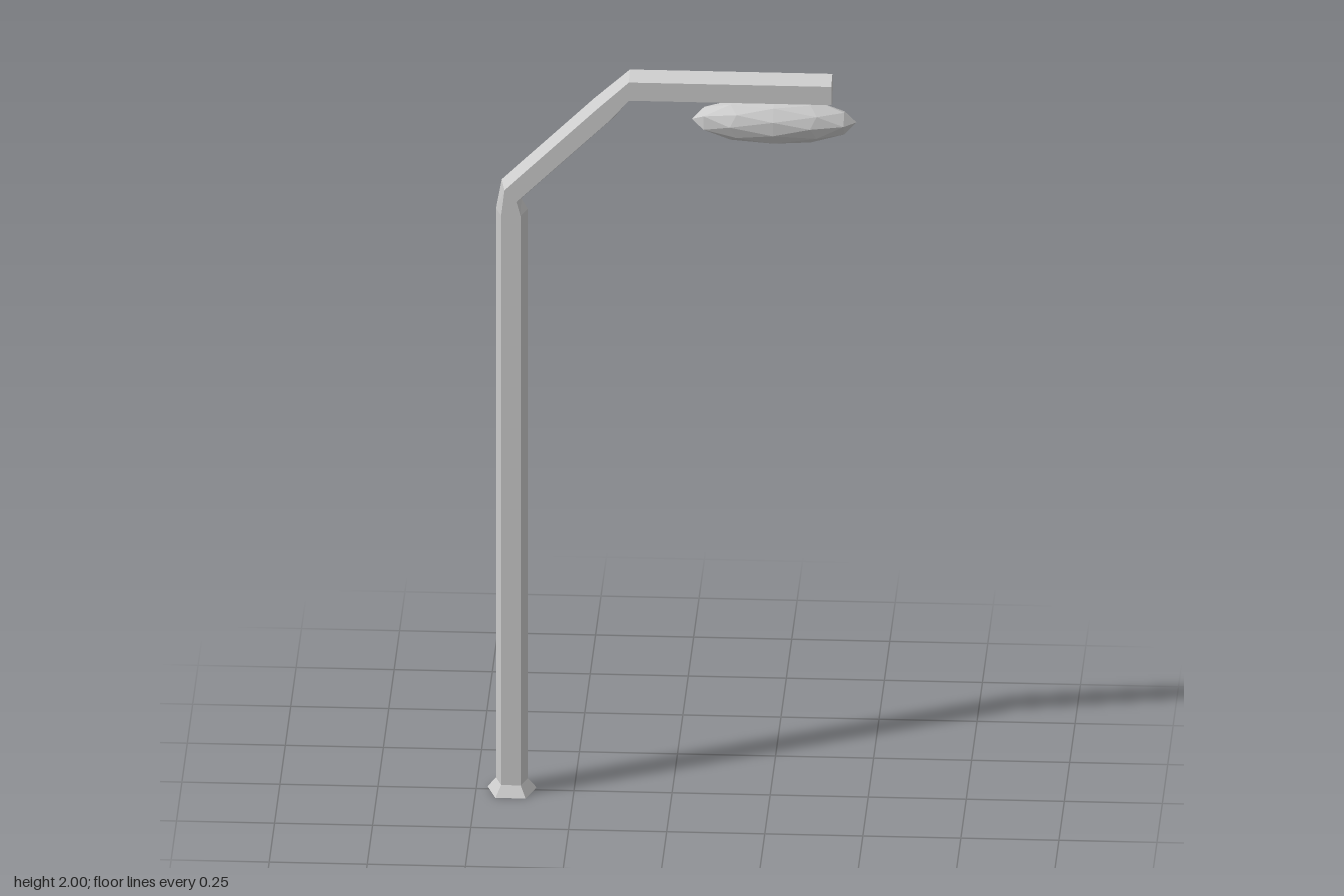
import * as THREE from 'three';

const SIDES = 5;

// Sweeps a pentagon through rings: x, y = centre, angle = outward direction,
// r = radius, squash = narrowing at the mitred bends.
function sweepPentagon(rings) {
  const pos = [];
  const index = [];
  for (const { x, y, angle, r, squash = 1 } of rings) {
    for (let i = 0; i < SIDES; i++) {
      const a = (i / SIDES) * Math.PI * 2;
      const u = r * squash * Math.sin(a);
      pos.push(x + u * Math.cos(angle), y + u * Math.sin(angle), 0.004 - r * Math.cos(a));
    }
  }
  for (let k = 0; k < rings.length - 1; k++) {
    for (let i = 0; i < SIDES; i++) {
      const j = (i + 1) % SIDES;
      const a = k * SIDES + i, b = k * SIDES + j;
      index.push(a, b, b + SIDES, a, b + SIDES, a + SIDES);
    }
  }
  // End caps
  const last = (rings.length - 1) * SIDES;
  for (let i = 1; i < SIDES - 1; i++) {
    index.push(0, i + 1, i);
    index.push(last, last + i, last + i + 1);
  }
  const geo = new THREE.BufferGeometry();
  geo.setAttribute('position', new THREE.Float32BufferAttribute(pos, 3));
  geo.setIndex(index);
  const flat = geo.toNonIndexed();
  flat.computeVertexNormals();
  return flat;
}

export function createModel() {
  const group = new THREE.Group();
  const material = new THREE.MeshStandardMaterial({ color: 0xcccccc, flatShading: true });
  const add = (name, geometry) => {
    const mesh = new THREE.Mesh(geometry, material);
    mesh.name = name;
    group.add(mesh);
    return mesh;
  };

  // Flared foot, upright pole, sloping bend and horizontal arm in one sweep
  const R = 0.043, X = -0.409;
  const out = Math.PI, diagonal = Math.PI * 0.75, up = Math.PI / 2;
  add('poleAndArm', sweepPentagon([
    { x: X, y: 0, angle: out, r: 0.066 },
    { x: X, y: 0.028, angle: out, r: R },
    { x: X, y: 1.607, angle: out, r: R },
    { x: -0.41, y: 1.662, angle: diagonal, r: R, squash: 0.88 },
    { x: -0.172, y: 1.894, angle: diagonal, r: R, squash: 0.88 },
    { x: -0.108, y: 1.959, angle: up, r: R },
    { x: 0.408, y: 1.959, angle: up, r: R },
  ]));

  // Faceted lamp: a low-poly sphere with its poles along x, stretched lengthwise
  const lamp = new THREE.IcosahedronGeometry(1, 1);
  lamp.rotateZ(-Math.atan((1 + Math.sqrt(5)) / 2));
  lamp.rotateX(Math.PI / 2);
  lamp.scale(0.21, 0.06, 0.061);
  add('lampHead', lamp).position.set(0.26, 1.869, -0.004);

  return group;
}
